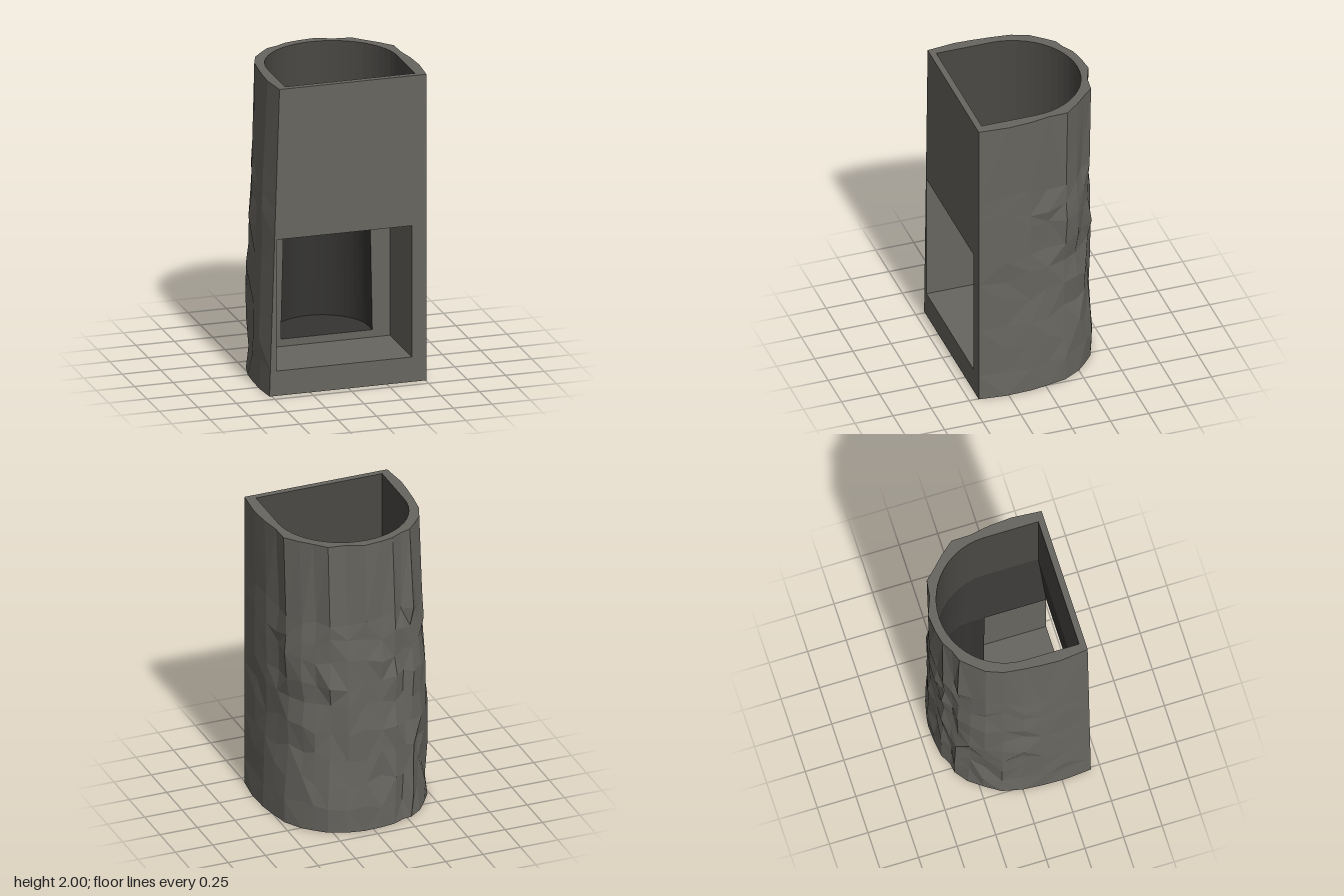
import * as THREE from 'three';

const FRONT = 0.44, INNER = 0.4, SILL = 0.162, HEARTH = 0.21, LINTEL = 1.02, SHOULDER = 1.32;
const WIN_L = -0.47, WIN_R = 0.41;

// Outlines [x, z] from the front right corner round the back to the front left corner
const TOP = [[0.505, FRONT], [0.52, 0.25], [0.51, 0.1], [0.487, -0.03], [0.485, -0.15], [0.415, -0.235], [0.35, -0.3],
  [0.28, -0.375], [0.17, -0.39], [0.06, -0.435], [-0.05, -0.425], [-0.14, -0.405], [-0.21, -0.365], [-0.28, -0.34],
  [-0.34, -0.275], [-0.4, -0.205], [-0.44, -0.1], [-0.455, 0.02], [-0.465, 0.14], [-0.47, 0.26], [-0.45, FRONT]];
const BOTTOM = [[0.505, FRONT], [0.525, 0.27], [0.52, 0.1], [0.5, -0.02], [0.475, -0.14], [0.41, -0.25], [0.35, -0.31],
  [0.28, -0.37], [0.17, -0.415], [0.06, -0.435], [-0.05, -0.43], [-0.15, -0.415], [-0.22, -0.38], [-0.28, -0.37],
  [-0.36, -0.31], [-0.42, -0.23], [-0.485, -0.13], [-0.515, 0], [-0.525, 0.13], [-0.528, 0.28], [-0.515, FRONT]];

const hash = (a, b) => {
  const s = Math.sin(a * 127.1 + b * 311.7) * 43758.5453;
  return s - Math.floor(s);
};

// Skin through a list of rings of [x, y, z] points; rough skins vary the diagonals
function loft(rings, { closed = false, rough = false } = {}) {
  const n = rings[0].length, index = [];
  for (let j = 0; j < rings.length - 1; j++) {
    for (let i = 0; i < (closed ? n : n - 1); i++) {
      const k = (i + 1) % n;
      const a = j * n + i, b = j * n + k, c = b + n, d = a + n;
      if (rough && hash(i + 5, j + 9) > 0.5) index.push(a, b, d, b, c, d);
      else index.push(a, b, c, a, c, d);
    }
  }
  const geo = new THREE.BufferGeometry();
  geo.setAttribute('position', new THREE.Float32BufferAttribute(rings.flat(2), 3));
  geo.setIndex(index);
  geo.computeVertexNormals();
  return geo;
}

const toShape = (pts) => new THREE.Shape(pts.map(([x, y]) => new THREE.Vector2(x, y)));

// Horizontal sheet from [x, z] points, facing up or down
function sheet(pts, y, up, hole) {
  const s = up ? -1 : 1;
  const flat = (list) => list.map(([x, z]) => [x, s * z]);
  const shape = toShape(flat(pts));
  if (hole) shape.holes.push(toShape(flat(hole)));
  return new THREE.ShapeGeometry(shape).rotateX(s * Math.PI / 2).translate(0, y, 0);
}

// Arched outline: straight sides from zFront, then a half circle at the back
function arch(cx, cz, r, zFront) {
  const pts = [[cx + r, zFront]];
  for (let i = 0; i <= 24; i++) {
    const t = Math.PI * i / 24;
    pts.push([cx + r * Math.cos(t), cz - r * Math.sin(t)]);
  }
  pts.push([cx - r, zFront]);
  return pts;
}
const lift = (pts, y) => pts.map(([x, z]) => [x, y, z]);

export function createModel() {
  const group = new THREE.Group();
  const material = (color) => new THREE.MeshStandardMaterial({ color, flatShading: true });
  const stone = material(0x686660), flueStone = material(0x4a4844), soot = material(0x353432);
  const add = (name, geo, mat = stone) => {
    const mesh = new THREE.Mesh(geo, mat);
    mesh.name = name;
    group.add(mesh);
  };

  // Rough hewn outer wall, leaning slightly to one side at mid height
  const heights = [0, 0.17, 0.34, 0.51, 0.68, 0.85, 1.02, 1.18, 1.32, 1.45, 2];
  const rings = heights.map((y, j) => BOTTOM.map(([x, z], i) => {
    const t = y / 2, edge = Math.min(i, BOTTOM.length - 1 - i);
    const px = x + (TOP[i][0] - x) * t, pz = z + (TOP[i][1] - z) * t;
    if (edge === 0 || j === 0 || j === heights.length - 1) return [px, y, pz];
    const k = 1 + (hash(i, j) - 0.6) * (edge < 3 ? 0.035 : 0.075);
    const lean = 0.016 * Math.sin(Math.PI * t);
    return [px * k - lean, y + (hash(i + 40, j) - 0.5) * 0.07, pz * (edge < 3 ? 1 : k)];
  }));
  add('outerWall', loft(rings, { rough: true }));
  add('base', sheet(BOTTOM, 0, false));

  // Front panel with the firebox opening
  const last = BOTTOM.length - 1;
  const panel = toShape([[BOTTOM[last][0], 0], [BOTTOM[0][0], 0], [TOP[0][0], 2], [TOP[last][0], 2]]);
  panel.holes.push(toShape([[WIN_L, SILL], [WIN_L, LINTEL], [WIN_R, LINTEL], [WIN_R, SILL]]));
  add('frontPanel', new THREE.ShapeGeometry(panel).translate(0, 0, FRONT));

  // Straight flue, smoke chamber narrowing to the throat, and the rim round the mouth
  const mouth = arch(0.022, 0.047, 0.422, INNER);
  const throat = arch(0, -0.095, 0.28, INNER);
  add('flue', loft([lift(mouth, 2), lift(mouth, SHOULDER)], { closed: true }), flueStone);
  add('smokeChamber', loft([lift(mouth, SHOULDER), lift(throat, LINTEL)], { closed: true }), soot);
  add('topRim', sheet(TOP, 2, true, mouth));

  // Firebox: side walls and floor, ceiling round the throat, back wall
  const box = [[WIN_L, LINTEL], [WIN_L, SILL], [WIN_R, SILL], [WIN_R, LINTEL]];
  add('fireboxWalls', loft([FRONT, 0].map((z) => box.map(([x, y]) => [x, y, z]))));
  add('fireboxCeiling', sheet([[WIN_L, 0], [-0.28, 0], [-0.28, INNER], [0.28, INNER], [0.28, 0],
    [WIN_R, 0], [WIN_R, FRONT], [WIN_L, FRONT]], LINTEL, false));
  add('fireboxBack', new THREE.ShapeGeometry(toShape([[WIN_L, SILL], [WIN_R, SILL], [WIN_R, LINTEL], [0.28, LINTEL],
    [0.295, HEARTH], [-0.3, HEARTH], [-0.28, LINTEL], [WIN_L, LINTEL]])));

  // Rounded niche at the back with its raised hearth
  const hearth = arch(-0.0025, -0.085, 0.2975, 0);
  add('nicheWall', loft([lift(arch(0, -0.095, 0.28, 0), LINTEL), lift(hearth, HEARTH)]), soot);
  add('hearth', sheet(hearth, HEARTH, true), soot);

  return group;
}
